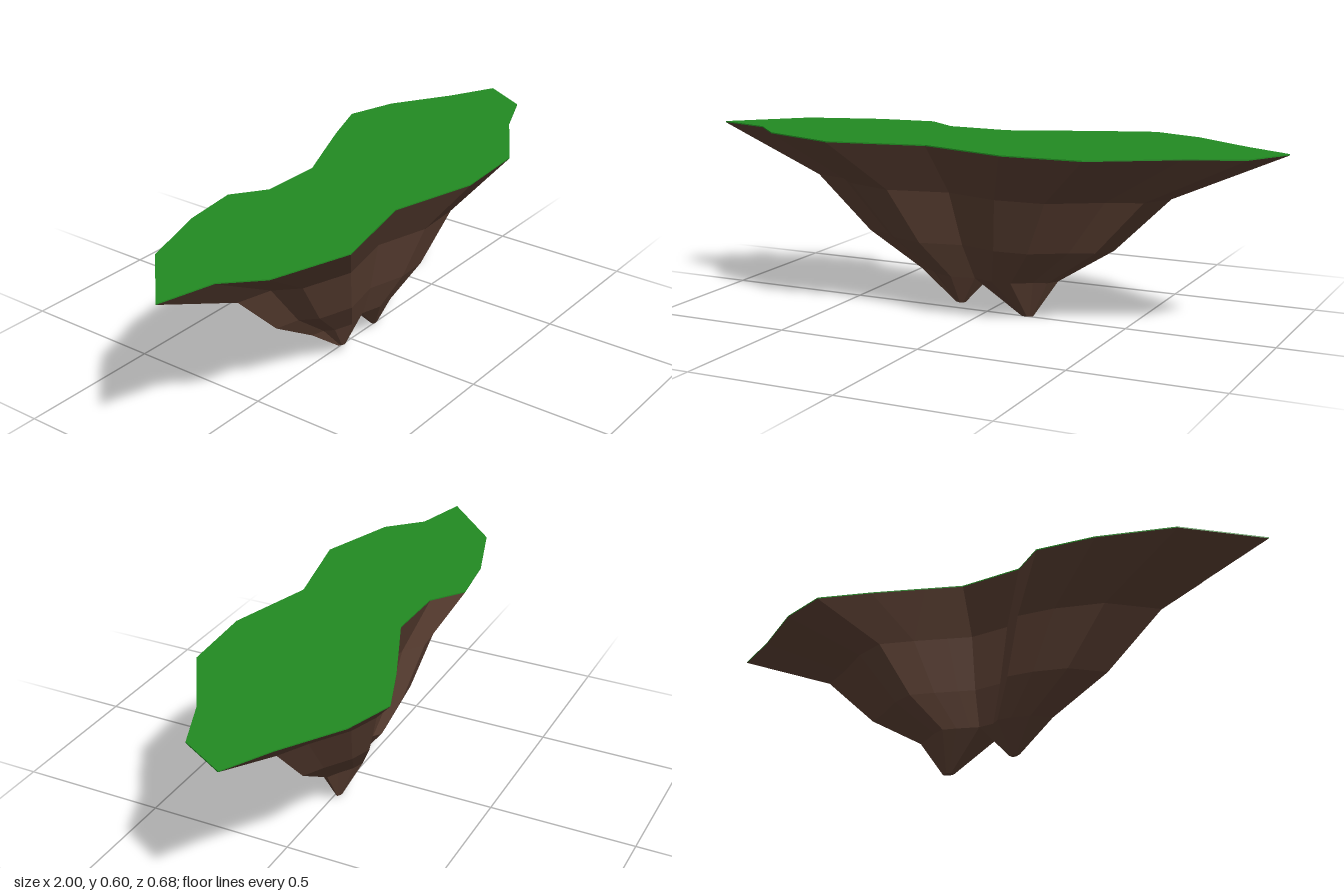
import * as THREE from 'three';

// Island outline [x, z], clockwise seen from above
const OUTLINE = [
  [-1, 0.07], [-0.78, -0.14], [-0.53, -0.22], [-0.33, -0.245], [-0.22, -0.165],
  [0, -0.16], [0.12, -0.21], [0.29, -0.28], [0.47, -0.345], [0.64, -0.29],
  [0.84, -0.16], [1, -0.075], [0.91, 0.085], [0.73, 0.16], [0.47, 0.32],
  [0.2, 0.335], [-0.1, 0.25], [-0.43, 0.32], [-0.7, 0.23], [-0.81, 0.12],
];
const HEIGHT = 0.6;
const GRASS = 0.004;

// Outline shrunk towards the middle at height y
const ring = (y, scale, shift = 0) =>
  OUTLINE.map(([x, z]) => new THREE.Vector3(x * scale + shift, y, z * scale));

// Triangles joining an upper loop to the matching lower loop
function band(tris, upper, lower) {
  upper.forEach((a, i) => {
    const j = (i + 1) % upper.length;
    tris.push(a, upper[j], lower[j], a, lower[j], lower[i]);
  });
}

function flatMesh(name, tris, color) {
  const geometry = new THREE.BufferGeometry().setFromPoints(tris);
  geometry.computeVertexNormals();
  const mesh = new THREE.Mesh(geometry,
    new THREE.MeshStandardMaterial({ color, flatShading: true }));
  mesh.name = name;
  return mesh;
}

// Rock tip: shrinks a loop to a small facet around the tip point
function rockTip(name, loop, tip, color) {
  const mid = new THREE.Box3().setFromPoints(loop).getCenter(new THREE.Vector3());
  const end = loop.map((p) => p.clone().sub(mid).multiplyScalar(0.14).add(tip).setY(tip.y));
  const tris = [];
  band(tris, loop, end);
  end.forEach((p, i) => tris.push(tip, p, end[(i + 1) % end.length]));
  return flatMesh(name, tris, color);
}

export function createModel() {
  const group = new THREE.Group();
  group.name = 'floatingIsland';
  const soil = 0x5c4033;

  // Grass cap
  const shape = new THREE.Shape(OUTLINE.map(([x, z]) => new THREE.Vector2(x, -z)));
  const grass = new THREE.Mesh(
    new THREE.ExtrudeGeometry(shape, { depth: GRASS, bevelEnabled: false }),
    new THREE.MeshStandardMaterial({ color: 0x228b22, flatShading: true }));
  grass.rotation.x = -Math.PI / 2;
  grass.position.y = HEIGHT - GRASS;
  grass.name = 'grass';
  group.add(grass);

  // Tapering soil body
  const rings = [
    ring(HEIGHT - GRASS, 1), ring(0.432, 0.63), ring(0.249, 0.44, 0.005), ring(0.128, 0.245, 0.008),
  ];
  const tris = [];
  for (let i = 0; i < rings.length - 1; i++) band(tris, rings[i], rings[i + 1]);
  group.add(flatMesh('soil', tris, soil));

  // Two tips, split along a line from back to front
  const base = rings[3];
  const rightLoop = [...base.slice(16), ...base.slice(0, 6)];
  const leftLoop = base.slice(5, 17);
  group.add(rockTip('rightRockTip', rightLoop, new THREE.Vector3(-0.088, 0.03, 0.027), soil));
  group.add(rockTip('leftRockTip', leftLoop, new THREE.Vector3(0.148, 0, -0.008), soil));
  return group;
}
